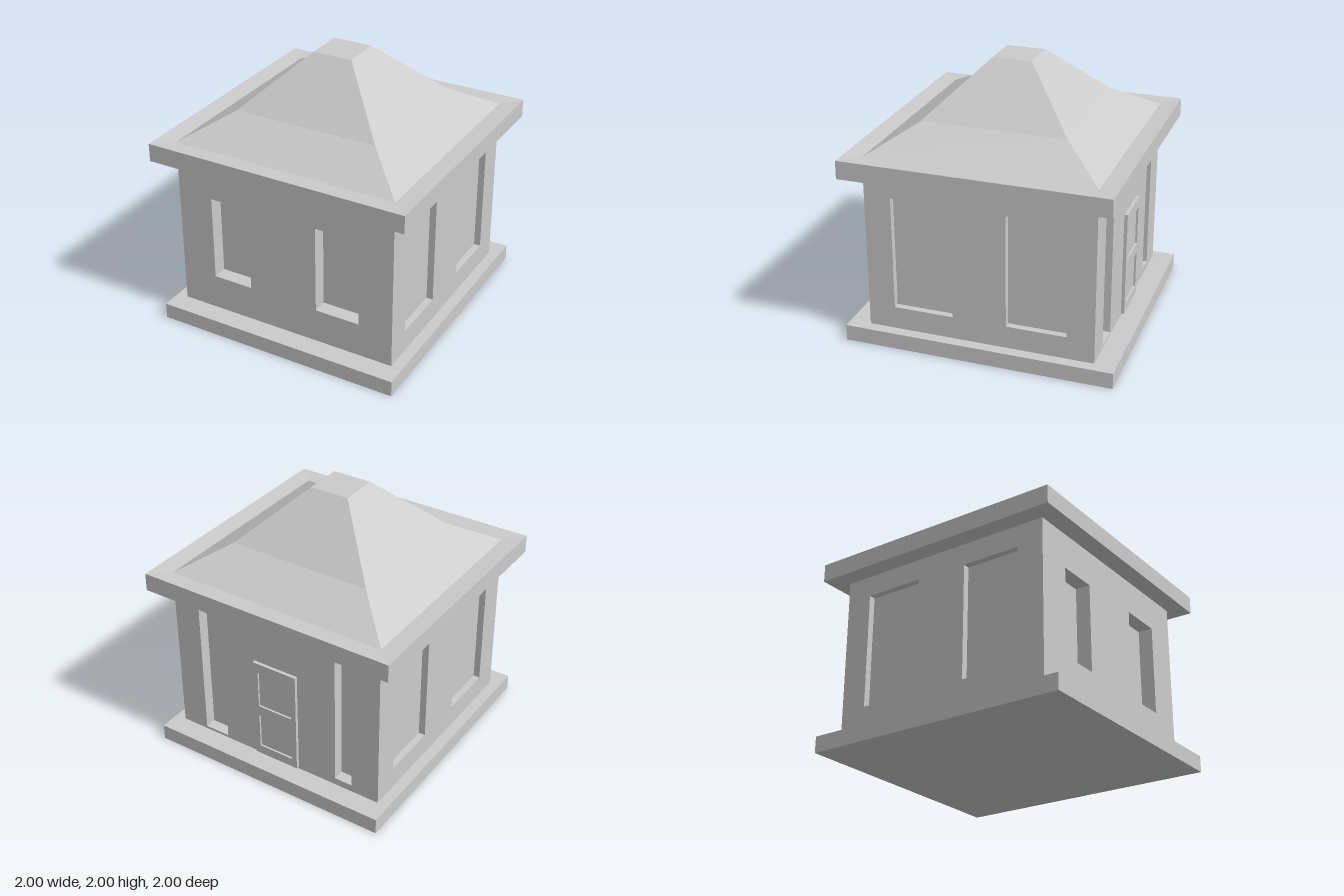
import * as THREE from 'three';

const material = new THREE.MeshStandardMaterial({ color: 0xcccccc, flatShading: true });

function add(parent, name, geometry, x = 0, y = 0, z = 0) {
  const mesh = new THREE.Mesh(geometry, material);
  mesh.name = name;
  mesh.position.set(x, y, z);
  parent.add(mesh);
  return mesh;
}

// Rectangular slab with rectangular holes, front face on local z = 0.
// Rectangles are [u0, u1, y0, y1].
function pierced([u0, u1, y0, y1], holes, depth) {
  const trace = (path, a, b, c, d) => {
    path.moveTo(a, c);
    path.lineTo(b, c);
    path.lineTo(b, d);
    path.lineTo(a, d);
    path.closePath();
    return path;
  };
  const shape = trace(new THREE.Shape(), u0, u1, y0, y1);
  for (const [a, b, c, d] of holes) shape.holes.push(trace(new THREE.Path(), a, b, c, d));
  return new THREE.ExtrudeGeometry(shape, { depth, bevelEnabled: false }).translate(0, 0, -depth);
}

// Closed solid lofted through rectangular rings [halfX, y, halfZ], bottom to top.
function rectLoft(rings) {
  const points = [], index = [];
  for (const [x, y, z] of rings) points.push(-x, y, z, x, y, z, x, y, -z, -x, y, -z);
  for (let r = 0; r < rings.length - 1; r++) {
    for (let i = 0; i < 4; i++) {
      const a = r * 4 + i, b = r * 4 + (i + 1) % 4;
      index.push(a, b, b + 4, a, b + 4, a + 4);
    }
  }
  const t = (rings.length - 1) * 4;
  index.push(0, 2, 1, 0, 3, 2, t, t + 1, t + 2, t, t + 2, t + 3);
  const indexed = new THREE.BufferGeometry();
  indexed.setAttribute('position', new THREE.Float32BufferAttribute(points, 3));
  indexed.setIndex(index);
  const geometry = indexed.toNonIndexed();
  geometry.computeVertexNormals();
  return geometry;
}

export function createModel() {
  const model = new THREE.Group();
  model.name = 'pavilion';

  const halfX = 0.862, halfZ = 0.843, y0 = 0.12, y1 = 1.3;
  const frontDepth = 0.11, backDepth = 0.085, sideDepth = 0.05;

  // Plinth
  add(model, 'plinth', new THREE.BoxGeometry(1.89, 0.12, 2), 0, 0.06, 0);

  // Solid core, forming the backs of all the recesses
  const coreFront = halfZ - frontDepth, coreBack = -halfZ + backDepth;
  add(model, 'core',
    new THREE.BoxGeometry(2 * (halfX - sideDepth), y1 - y0, coreFront - coreBack),
    0, (y0 + y1) / 2, (coreFront + coreBack) / 2);

  // Front wall with two windows
  add(model, 'frontWall', pierced([-halfX, halfX, y0, y1],
    [[-0.59, -0.28, 0.39, 1.04], [0.26, 0.6, 0.38, 1.05]], frontDepth), 0, 0, halfZ);

  // Back wall with two tall niches
  add(model, 'backWall', pierced([-halfX, halfX, y0, y1],
    [[-0.65, -0.45, 0.14, 1.27], [0.505, 0.643, 0.175, 1.24]], backDepth),
  0, 0, -halfZ).rotation.y = Math.PI;

  // Side walls, each with two windows
  for (const side of [1, -1]) {
    const ends = [-side * coreFront, -side * coreBack].sort((a, b) => a - b);
    const windows = [[-0.645, -0.2, 0.29, 1.145], [0.2, 0.642, 0.29, 1.14]];
    const wall = add(model, side > 0 ? 'leftWall' : 'rightWall',
      pierced([...ends, y0, y1], windows, sideDepth), side * halfX, 0, 0);
    wall.rotation.y = side * Math.PI / 2;
  }

  // Back door: framed slab with two sunken panels, just clear of the wall
  const door = new THREE.Group();
  door.name = 'door';
  door.position.set(-0.015, 0, -0.872);
  door.rotation.y = Math.PI;
  model.add(door);
  add(door, 'doorFrame', pierced([-0.18, 0.18, 0.14, 0.94],
    [[-0.14, 0.14, 0.21, 0.49], [-0.14, 0.14, 0.57, 0.86]], 0.015));
  add(door, 'doorPanel', new THREE.BoxGeometry(0.36, 0.8, 0.01), 0, 0.54, -0.02);

  // Eaves slab with a slightly dished top, rising into the flared roof
  add(model, 'roof', rectLoft([
    [1, 1.3, 0.977],
    [1, 1.435, 0.977],
    [0.862, 1.425, 0.843],
    [0.55, 1.615, 0.535],
    [0.15, 2, 0.145],
  ]));

  return model;
}
